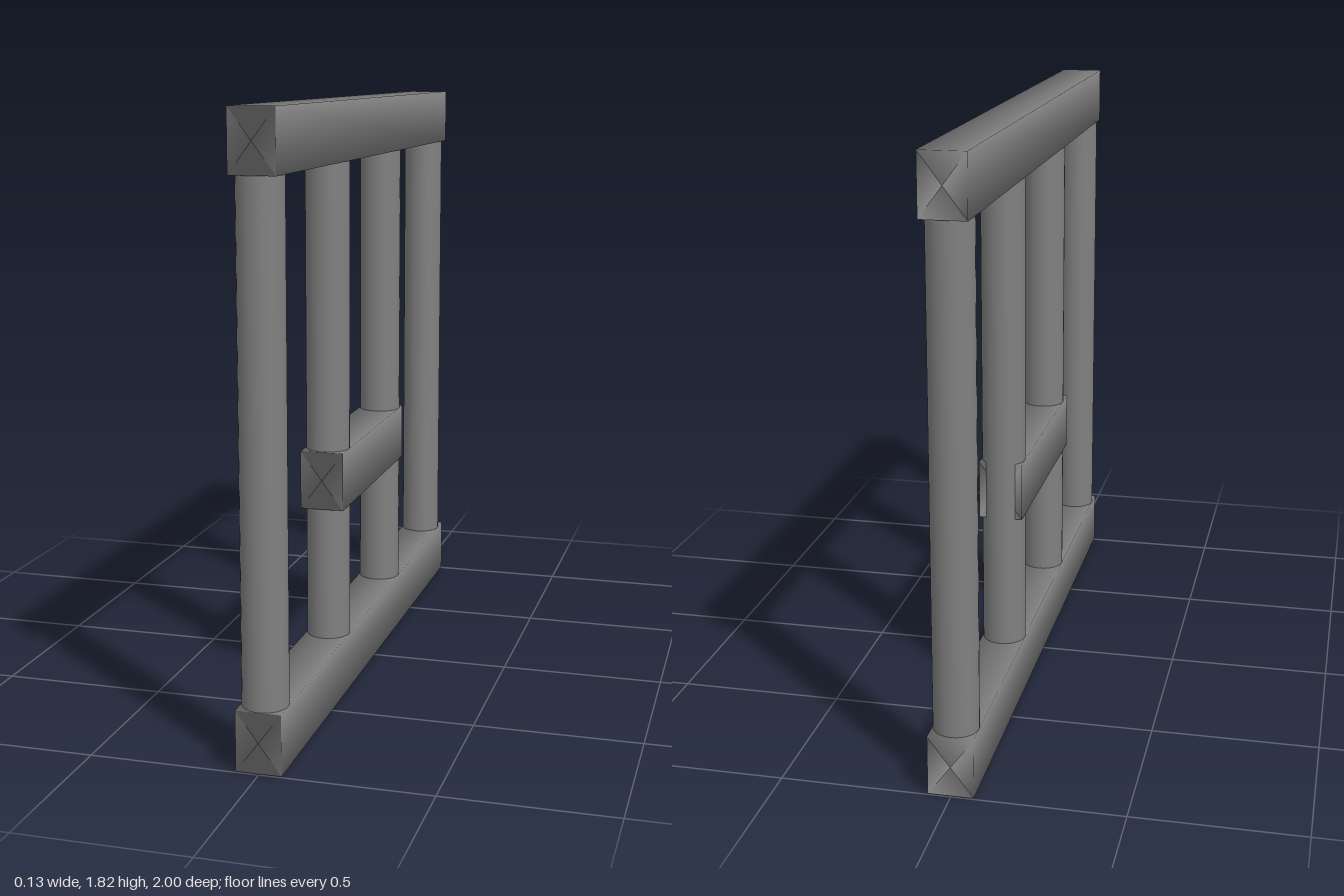
import * as THREE from 'three';

const WIDTH = 0.133;
const RAIL_HEIGHT = 0.178;
const material = new THREE.MeshStandardMaterial({ color: 0x808080 });

// Four-sided beam along z with soft radial normals. The outer rings of the
// tube are folded to the axis to close its ends, keeping the same shading.
function beam(name, y, zMin, zMax) {
  const geometry = new THREE.CylinderGeometry(Math.SQRT1_2, Math.SQRT1_2, 1, 4, 3, true);
  const position = geometry.attributes.position;
  for (let i = 0; i < position.count; i++) {
    const h = position.getY(i);
    if (Math.abs(h) > 0.4) position.setXYZ(i, 0, h, 0);
    else position.setY(i, Math.sign(h) / 2);
  }
  geometry.rotateY(Math.PI / 4);
  geometry.rotateX(Math.PI / 2);
  geometry.scale(WIDTH, RAIL_HEIGHT, zMax - zMin);
  const mesh = new THREE.Mesh(geometry, material);
  mesh.name = name;
  mesh.position.set(0, y, (zMin + zMax) / 2);
  return mesh;
}

// Round upright standing on the ground
function post(name, z, height) {
  const geometry = new THREE.CylinderGeometry(WIDTH / 2, WIDTH / 2, height, 32);
  const mesh = new THREE.Mesh(geometry, material);
  mesh.name = name;
  mesh.position.set(0, height / 2, z);
  return mesh;
}

export function createModel() {
  const model = new THREE.Group();
  model.name = 'fenceFrame';

  // Long rails and the short bar between the inner posts
  model.add(beam('bottomRail', 0.092, -1, 1));
  model.add(beam('topRail', 1.729, -1, 1));
  model.add(beam('crossbar', 0.682, -0.355, 0.385));

  // Evenly spaced posts, front to back
  for (let i = 0; i < 4; i++) {
    model.add(post(`post${i + 1}`, 0.932 - i * 0.619, 1.7));
  }
  return model;
}
